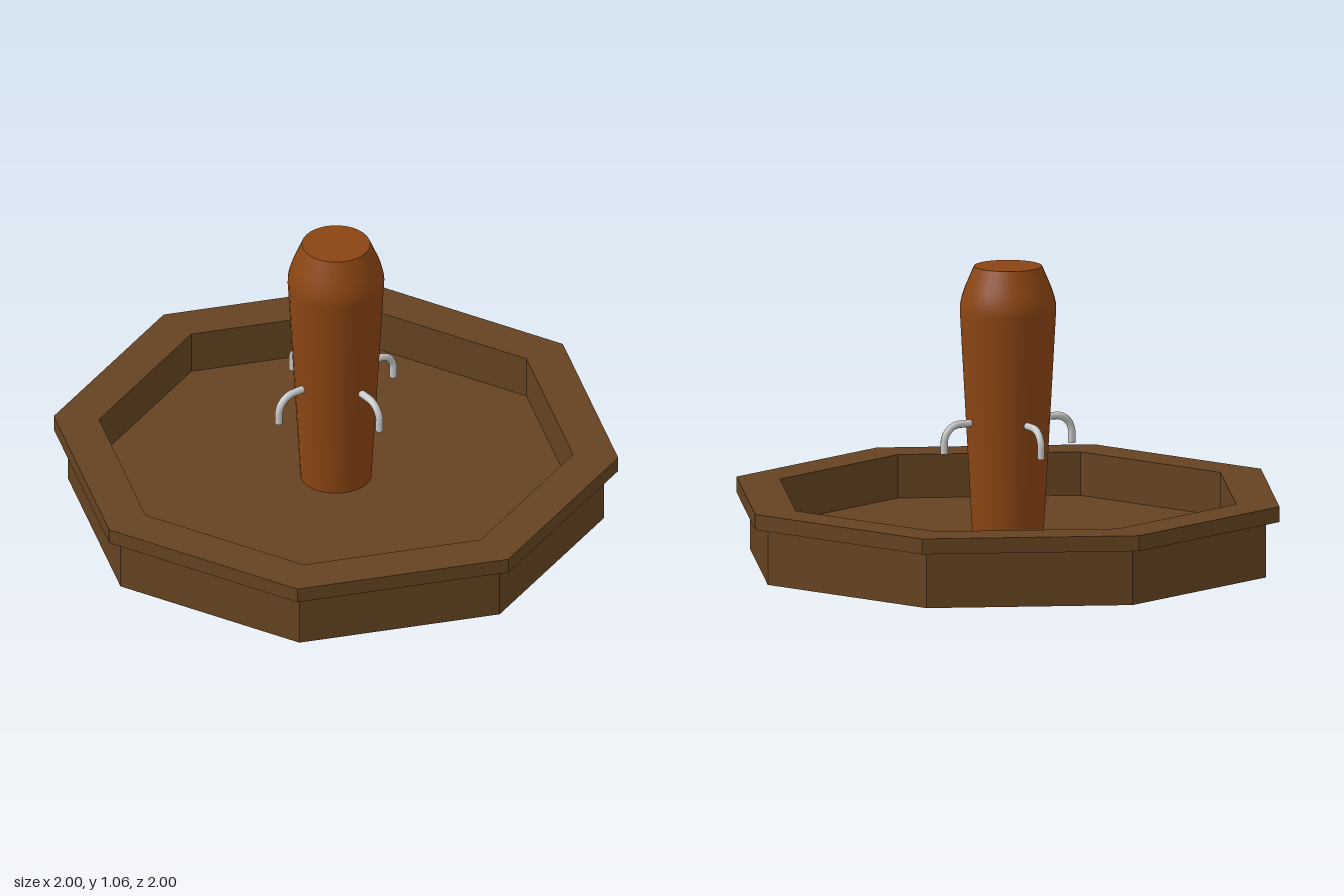
import * as THREE from 'three';

const trayWood = new THREE.MeshStandardMaterial({ color: 0x654321, flatShading: true, side: THREE.DoubleSide });
const postWood = new THREE.MeshStandardMaterial({ color: 0x8b4513 });
const metal = new THREE.MeshStandardMaterial({ color: 0xcccccc });

const FLOOR = 0.1, RIM_BOTTOM = 0.2, RIM_TOP = 0.255;

function lathe(name, profile, sides, material) {
  const points = profile.map(([r, y]) => new THREE.Vector2(r, y));
  const mesh = new THREE.Mesh(new THREE.LatheGeometry(points, sides), material);
  mesh.name = name;
  return mesh;
}

// flat disc facing up (or down)
function disc(name, radius, y, up, material) {
  const mesh = new THREE.Mesh(new THREE.CircleGeometry(radius, 32), material);
  mesh.rotation.x = up ? -Math.PI / 2 : Math.PI / 2;
  mesh.position.y = y;
  mesh.name = name;
  return mesh;
}

// hook: straight arm out along +x, quarter bend, short drop
function createHook() {
  const hook = new THREE.Group();
  const v = (x, y) => new THREE.Vector3(x, y, 0);
  const k = 0.0345, bend = 0.0625, armY = 0.511, tipX = 0.252, tipY = 0.41, radius = 0.0135;
  const path = new THREE.CurvePath();
  path.add(new THREE.LineCurve3(v(0.11, armY), v(tipX - bend, armY)));
  path.add(new THREE.CubicBezierCurve3(
    v(tipX - bend, armY), v(tipX - bend + k, armY),
    v(tipX, armY - bend + k), v(tipX, armY - bend)));
  path.add(new THREE.LineCurve3(v(tipX, armY - bend), v(tipX, tipY)));
  const rod = new THREE.Mesh(new THREE.TubeGeometry(path, 28, radius, 8, false), metal);
  rod.name = 'hookRod';
  const tip = new THREE.Mesh(new THREE.CircleGeometry(radius, 8), metal);
  tip.rotation.x = Math.PI / 2;
  tip.position.set(tipX, tipY, 0);
  tip.name = 'hookTip';
  hook.add(rod, tip);
  return hook;
}

export function createModel() {
  const model = new THREE.Group();
  model.name = 'octagonalTrayWithPost';

  // octagonal tray: skirt, overhanging rim, sunken floor
  const tray = new THREE.Group();
  tray.name = 'tray';
  tray.add(
    lathe('skirt', [[0.95, 0], [0.95, RIM_BOTTOM]], 8, trayWood),
    lathe('rim', [[0.84, RIM_BOTTOM], [1, RIM_BOTTOM], [1, RIM_TOP], [0.84, RIM_TOP]], 8, trayWood),
    lathe('basin', [[0.84, RIM_TOP], [0.84, FLOOR], [0, FLOOR]], 8, trayWood)
  );
  model.add(tray);

  // tapered centre post with rounded shoulder
  const post = new THREE.Group();
  post.name = 'post';
  post.add(
    lathe('postBody', [
      [0.125, 0.095], [0.134, 0.255], [0.168, 0.87], [0.17, 0.905],
      [0.169, 0.925], [0.163, 0.952], [0.152, 0.985], [0.12, 1.06]
    ], 32, postWood),
    disc('postTop', 0.12, 1.06, true, postWood),
    disc('postBottom', 0.125, 0.095, false, postWood)
  );
  model.add(post);

  // four hooks around the post
  for (let i = 0; i < 4; i++) {
    const hook = createHook();
    hook.name = 'hook' + (i + 1);
    hook.rotation.y = i * Math.PI / 2;
    model.add(hook);
  }
  return model;
}
